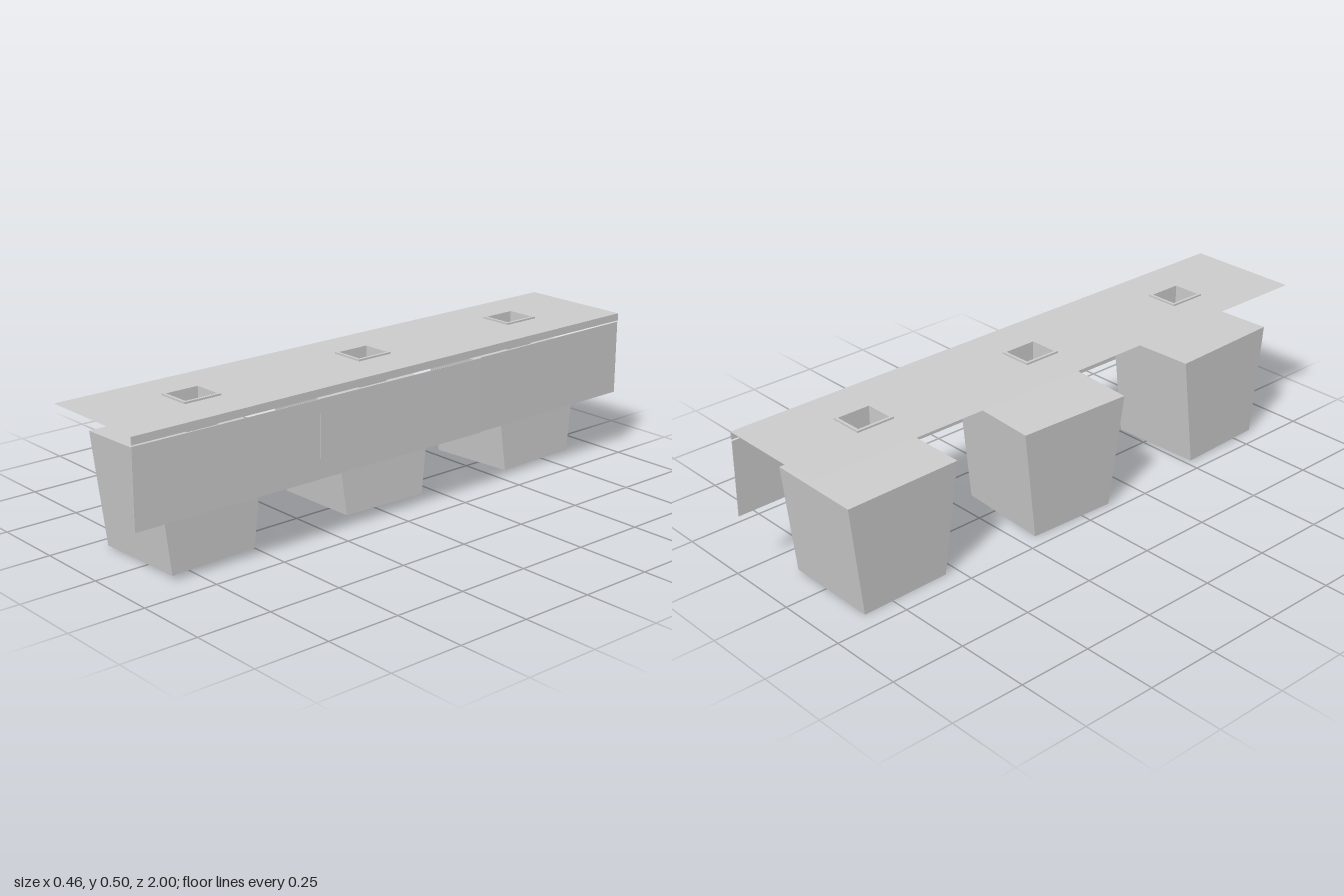
import * as THREE from 'three';

const material = new THREE.MeshStandardMaterial({ color: 0xcccccc, side: THREE.DoubleSide, flatShading: true });

function add(parent, name, geometry, x = 0, y = 0, z = 0) {
  const mesh = new THREE.Mesh(geometry, material);
  mesh.name = name;
  mesh.position.set(x, y, z);
  parent.add(mesh);
  return mesh;
}

// Box with one face left out (0 +x, 1 -x, 2 +y, 3 -y, 4 +z, 5 -z)
function openBox(w, h, d, missingFace) {
  const geometry = new THREE.BoxGeometry(w, h, d);
  const kept = Array.from(geometry.index.array).filter((_, i) => Math.floor(i / 6) !== missingFace);
  geometry.setIndex(kept);
  geometry.clearGroups();
  return geometry;
}

// Rectangle path in the x / -z plane, laid flat later
function rectangle(PathType, x0, x1, z0, z1) {
  const path = new PathType();
  path.moveTo(x0, -z1);
  path.lineTo(x1, -z1);
  path.lineTo(x1, -z0);
  path.lineTo(x0, -z0);
  path.closePath();
  return path;
}

export function createModel() {
  const group = new THREE.Group();
  const topY = 0.497;
  const basinX = 0.02, basinW = 0.096, basinD = 0.114;
  const basinZ = [0.654, -0.01, -0.67];

  // Thin counter sheet with three square openings
  const sheet = rectangle(THREE.Shape, -0.175, 0.217, -1, 1);
  for (const z of basinZ) {
    sheet.holes.push(rectangle(THREE.Path, basinX - basinW / 2, basinX + basinW / 2, z - basinD / 2, z + basinD / 2));
  }
  add(group, 'counterTop', new THREE.ShapeGeometry(sheet).rotateX(-Math.PI / 2), 0, topY, 0);

  // Edge strip under the front of the counter
  add(group, 'counterLip', new THREE.BoxGeometry(0.004, 0.025, 2), 0.217, 0.4845, 0);

  // Raised rims and sunken basins
  for (const z of basinZ) {
    const rim = rectangle(THREE.Shape, -0.0575, 0.0575, -0.0665, 0.0665);
    rim.holes.push(rectangle(THREE.Path, -basinW / 2, basinW / 2, -basinD / 2, basinD / 2));
    const rimGeometry = new THREE.ExtrudeGeometry(rim, { depth: 0.006, bevelEnabled: false });
    add(group, 'basinRim', rimGeometry.rotateX(-Math.PI / 2), basinX, topY, z);
    add(group, 'basin', openBox(basinW, 0.09, basinD, 2), basinX, 0.452, z);
  }

  // Three slightly skewed front panels: [x at +z end, x at -z end]
  [[0.216, 0.222], [0.221, 0.226], [0.222, 0.216]].forEach(([xNear, xFar], i) => {
    const panel = add(group, 'frontPanel', new THREE.BoxGeometry(0.002, 0.252, 0.665),
      (xNear + xFar) / 2, 0.341, (1 - i) * 0.667);
    panel.rotation.y = Math.atan2(xNear - xFar, 0.667);
  });

  // Crates tapering along z, open underneath, each set down a little askew
  const crateH = 0.378;
  const crate = openBox(0.318, crateH, 0.408, 3);
  const p = crate.attributes.position;
  for (let i = 0; i < p.count; i++) {
    if (p.getY(i) < 0) p.setZ(i, p.getZ(i) * 0.765);
  }
  crate.computeVertexNormals();
  const crates = [
    { x: -0.04, y: 0.194, z: 0.667, turn: 0.04, lean: 0 },
    { x: -0.056, y: 0.194, z: -0.034, turn: -0.038, lean: 0.03 },
    { x: -0.031, y: 0.194, z: -0.702, turn: 0.02, lean: 0.03 },
  ];
  for (const c of crates) {
    const mesh = add(group, 'crate', crate, c.x, c.y, c.z);
    mesh.rotation.set(0, c.turn, c.lean);
  }

  return group;
}
